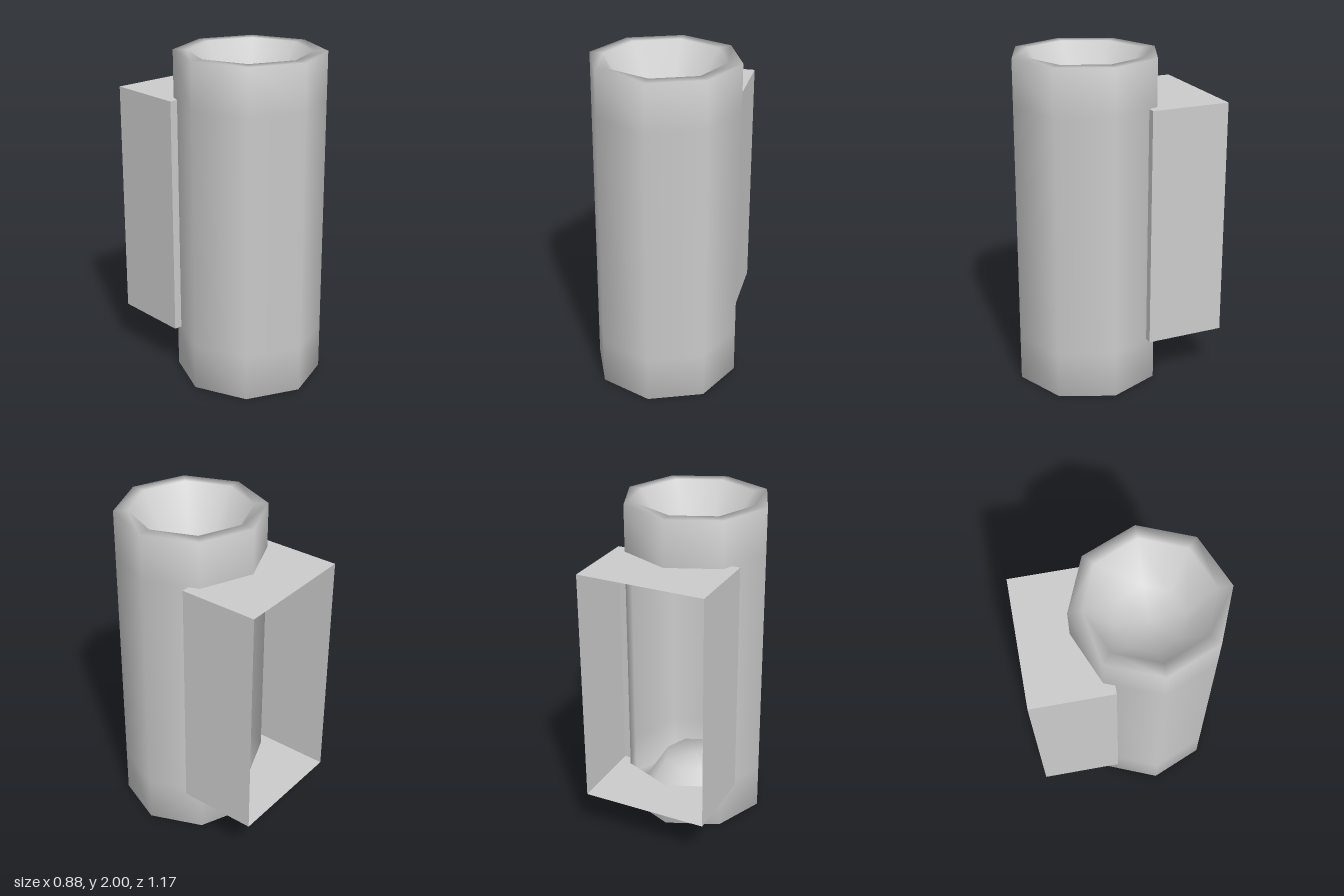
import * as THREE from 'three';

const R = 0.44;               // tube radius (to the corners)
const TUBE_Z = 0.145;         // tube axis
const LOW = 0.28, HIGH = 1.72; // housing bottom and top
const HALF = 0.385, FRONT = -0.105, BACK = -0.585;

const material = new THREE.MeshStandardMaterial({ color: 0xcccccc, side: THREE.DoubleSide });

function add(parent, name, geometry, x = 0, y = 0, z = 0) {
  const mesh = new THREE.Mesh(geometry, material);
  mesh.name = name;
  mesh.position.set(x, y, z);
  parent.add(mesh);
  return mesh;
}

const profile = (points) => points.map(([x, y]) => new THREE.Vector2(x, y));

export function createModel() {
  const group = new THREE.Group();
  group.name = 'wallLamp';

  // Eight-sided tube ends, each with a rim and a recessed cup
  const end = [[0, 0.26], [0.2, 0.26], [0.36, 0], [R, 0], [R, LOW]];
  const topEnd = end.map(([x, y]) => [x, 2 - y]).reverse();
  add(group, 'lowerTubeEnd', new THREE.LatheGeometry(profile(end), 8), 0, 0, TUBE_Z);
  add(group, 'upperTubeEnd', new THREE.LatheGeometry(profile(topEnd), 8), 0, 0, TUBE_Z);

  // Tube wall, open toward the housing (two of eight sides left out)
  const wall = profile([[R, LOW], [R, HIGH]]);
  add(group, 'tubeWall',
    new THREE.LatheGeometry(wall, 6, -Math.PI * 0.75, Math.PI * 1.5), 0, 0, TUBE_Z);

  // Housing: top and bottom plates cut to fit around the tube
  const housing = new THREE.Group();
  housing.name = 'housing';
  group.add(housing);
  const corner = R * Math.SQRT1_2;
  const cornerZ = TUBE_Z - corner;
  const wallX = corner + (R - corner) * (FRONT - cornerZ) / corner;
  const outline = profile([
    [HALF, FRONT], [wallX, FRONT], [corner, cornerZ], [0, TUBE_Z - R], [-corner, cornerZ],
    [-wallX, FRONT], [-HALF, FRONT], [-HALF, BACK], [HALF, BACK],
  ]);
  const plate = new THREE.ShapeGeometry(new THREE.Shape(outline)).rotateX(Math.PI / 2);
  add(housing, 'bottomPlate', plate, 0, LOW);
  add(housing, 'topPlate', plate, 0, HIGH).scale.y = -1;

  // Side walls and the narrow front lips meeting the tube; the back stays open
  const height = HIGH - LOW, midY = (HIGH + LOW) / 2;
  for (const side of [1, -1]) {
    const sideWall = new THREE.PlaneGeometry(FRONT - BACK, height).rotateY(side * Math.PI / 2);
    add(housing, side > 0 ? 'leftWall' : 'rightWall', sideWall, side * HALF, midY, (FRONT + BACK) / 2);
    const lip = new THREE.PlaneGeometry(HALF - wallX, height);
    add(housing, side > 0 ? 'leftLip' : 'rightLip', lip, side * (HALF + wallX) / 2, midY, FRONT);
  }
  return group;
}
